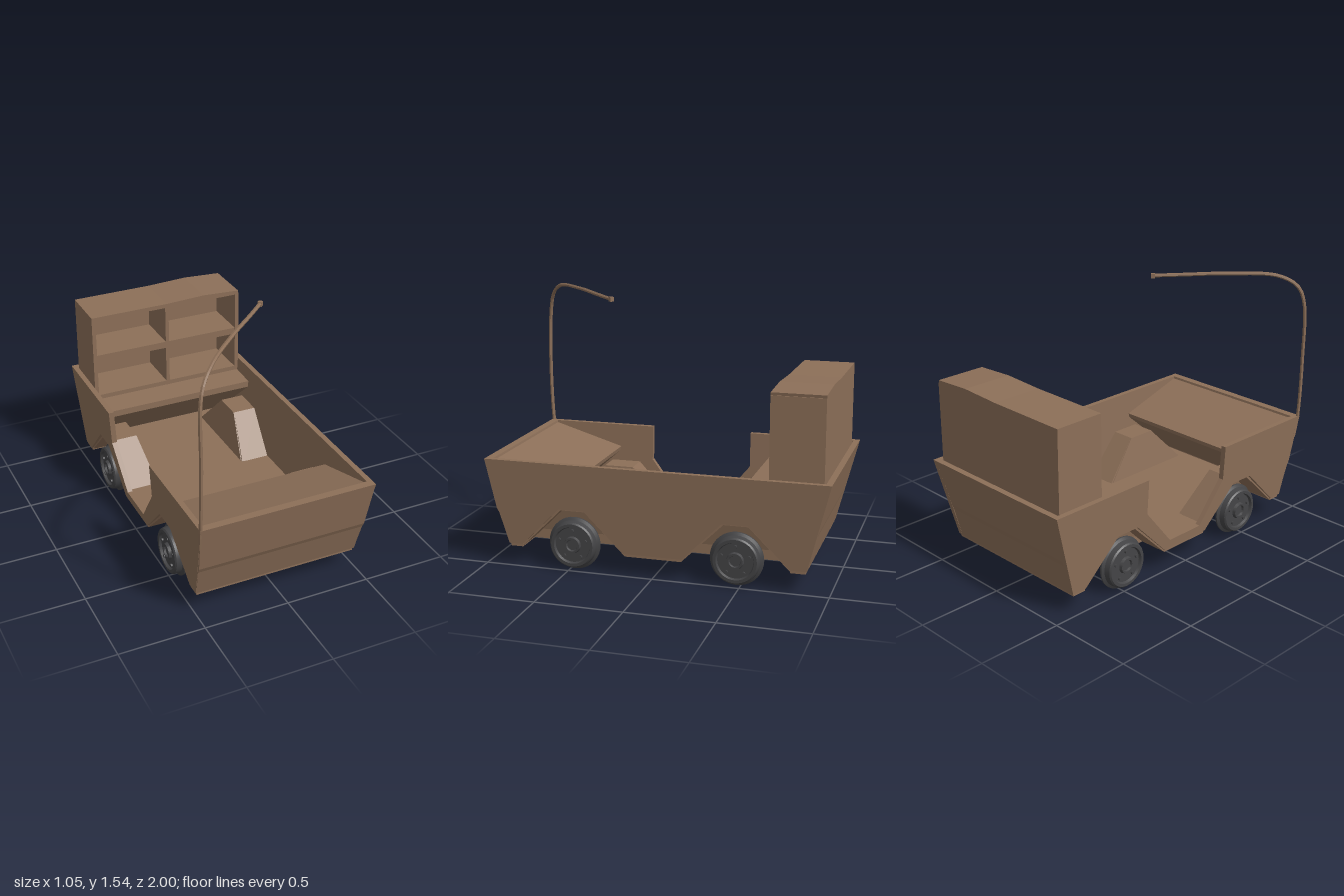
import * as THREE from 'three';
import { toCreasedNormals } from 'three/addons/utils/BufferGeometryUtils.js';

const wood = new THREE.MeshStandardMaterial({ color: 0x8c6f58, flatShading: true });
const iron = new THREE.MeshStandardMaterial({ color: 0x444446 });
const WHEEL_Z = [0.475, -0.475];
const SIDES = [1, -1];

function add(parent, name, geometry, material = wood) {
  const mesh = new THREE.Mesh(geometry, material);
  mesh.name = name;
  parent.add(mesh);
  return mesh;
}

// Prism with a [z, y] outline spanning xa..xb; the body flares outward with height
function prism(parent, name, outline, xa, xb, warp = (x, y) => x * (1 + (y - 0.12) * 0.12)) {
  const shape = new THREE.Shape(outline.map(([z, y]) => new THREE.Vector2(z, y)));
  const geo = new THREE.ExtrudeGeometry(shape, { depth: Math.abs(xb - xa), bevelEnabled: false });
  geo.rotateY(-Math.PI / 2).translate(Math.max(xa, xb), 0, 0);
  const p = geo.attributes.position;
  for (let i = 0; i < p.count; i++) p.setX(i, warp(p.getX(i), p.getY(i)));
  geo.computeVertexNormals();
  return add(parent, name, geo);
}

function box(parent, name, x0, x1, y0, y1, z0, z1) {
  const geo = new THREE.BoxGeometry(x1 - x0, y1 - y0, z1 - z0);
  geo.translate((x0 + x1) / 2, (y0 + y1) / 2, (z0 + z1) / 2);
  return add(parent, name, geo);
}

// Angular wheel arch, from the front end to the rear end
const arch = (cz, half, topHalf, base, top) =>
  [[cz + half, base], [cz + topHalf, top], [cz - topHalf, top], [cz - half, base]];

function buildBody() {
  const body = new THREE.Group();
  body.name = 'body';

  // Side walls, the right one with a doorway
  const lower = [
    [0.862, 0.13], ...arch(WHEEL_Z[0], 0.305, 0.075, 0.13, 0.362),
    ...arch(WHEEL_Z[1], 0.305, 0.075, 0.13, 0.362), [-0.872, 0.13], [-1, 0.63],
  ];
  const doorway = [[-0.33, 0.63], [-0.33, 0.42], [-0.13, 0.18], [0.12, 0.18], [0.3, 0.42], [0.3, 0.63]];
  prism(body, 'leftWall', [...lower, [0.99, 0.63]], 0.462, 0.492);
  prism(body, 'rightWall', [...lower, ...doorway, [0.99, 0.63]], -0.492, -0.462);

  // Slanted end walls, slightly dented
  prism(body, 'frontWall', [[0.99, 0.63], [0.945, 0.63], [0.83, 0.13], [0.862, 0.13], [0.915, 0.31], [0.93, 0.34]], -0.49, 0.49);
  prism(body, 'rearWall', [[-1, 0.63], [-0.925, 0.34], [-0.915, 0.31], [-0.872, 0.13], [-0.84, 0.13], [-0.965, 0.63]], -0.49, 0.49);

  // Floor: centre plank and the pieces between the arches
  box(body, 'floor', -0.31, 0.31, 0.113, 0.17, -0.865, 0.855);
  for (const s of SIDES) {
    for (const [a, b] of [[0.78, 0.855], [-0.165, 0.165], [-0.865, -0.78]]) {
      box(body, 'floorEdge', Math.min(s * 0.31, s * 0.485), Math.max(s * 0.31, s * 0.485), 0.113, 0.17, a, b);
    }
    // Wheel wells: hollow arches with a leaning inner cheek
    for (const cz of WHEEL_Z) {
      const outer = arch(cz, 0.345, 0.09, 0.13, 0.4);
      const inner = arch(cz, 0.31, 0.07, 0.113, 0.35);
      const lean = (x, y) => (Math.abs(x) < 0.4 ? x + s * (y - 0.17) * 0.2 : x);
      prism(body, 'wheelWell', [...outer, ...inner.reverse()], s * 0.29, s * 0.482, lean);
      prism(body, 'wheelWellCheek', arch(cz, 0.345, 0.09, 0.115, 0.4), s * 0.285, s * 0.31, lean);
    }
  }

  // Sloping front deck and rear bench, each with a panel running back to the floor
  prism(body, 'frontDeck', [[0.97, 0.625], [0.51, 0.49], [0.515, 0.465], [0.85, 0.165]], -0.465, 0.465);
  prism(body, 'rearBench', [[-0.97, 0.56], [-0.86, 0.165], [-0.49, 0.5], [-0.49, 0.54]], -0.465, 0.465);
  return body;
}

function buildCabinet() {
  const cabinet = new THREE.Group();
  cabinet.name = 'cabinet';
  const front = -0.655, back = -0.955;
  box(cabinet, 'cabinetBack', -0.485, 0.485, 0.54, 1.09, back, back + 0.025);
  for (const s of SIDES) box(cabinet, 'cabinetSide', s * 0.478 - 0.012, s * 0.478 + 0.012, 0.54, 1.09, back, front);
  box(cabinet, 'cabinetDivider', -0.011, 0.011, 0.54, 1.09, back + 0.02, front - 0.001);
  box(cabinet, 'cabinetShelf', -0.47, 0.47, 0.808, 0.85, back + 0.02, front - 0.002);
  box(cabinet, 'cabinetBase', -0.47, 0.47, 0.54, 0.575, back + 0.02, front - 0.002);
  // Slightly crooked top board
  const top = new THREE.Shape([[-0.49, 1.082], [0.482, 1.082], [0.486, 1.106], [0.25, 1.118], [0, 1.108], [-0.49, 1.106]]
    .map(([x, y]) => new THREE.Vector2(x, y)));
  const geo = new THREE.ExtrudeGeometry(top, { depth: front - back, bevelEnabled: false });
  add(cabinet, 'cabinetTop', geo.translate(0, 0, back));
  return cabinet;
}

function buildWheel() {
  const wheel = new THREE.Group();
  wheel.name = 'wheel';
  // Flanged rim, dished face and hub
  const profile = [[0, 0], [0.153, 0], [0.153, 0.01], [0.138, 0.02], [0.133, 0.052], [0.125, 0.06], [0.108, 0.06],
    [0.102, 0.045], [0.05, 0.045], [0.045, 0.062], [0.034, 0.062], [0.03, 0.05], [0, 0.05]];
  const rim = new THREE.LatheGeometry(profile.map(([r, h]) => new THREE.Vector2(r, h)), 36);
  add(wheel, 'wheelRim', toCreasedNormals(rim.rotateZ(-Math.PI / 2), 0.5), iron);
  for (let i = 0; i < 5; i++) {
    const a = (i / 5) * Math.PI * 2;
    const bolt = new THREE.CylinderGeometry(0.01, 0.01, 0.016, 8).rotateZ(-Math.PI / 2);
    add(wheel, 'wheelBolt', bolt.translate(0.048, 0.083 * Math.cos(a), 0.083 * Math.sin(a)), iron);
  }
  const axle = new THREE.CylinderGeometry(0.028, 0.028, 0.14, 16).rotateZ(-Math.PI / 2);
  add(wheel, 'axleStub', axle.translate(-0.07, 0, 0), iron);
  return wheel;
}

export function createModel() {
  const model = new THREE.Group();
  model.name = 'woodenCart';
  model.add(buildBody(), buildCabinet());

  for (const s of SIDES) {
    for (const z of WHEEL_Z) {
      const wheel = buildWheel();
      wheel.position.set(s * 0.442, 0.153, z);
      if (s < 0) wheel.rotation.y = Math.PI;
      model.add(wheel);
    }
  }

  // Bent pole rising from the front right corner and reaching over the cart
  const path = new THREE.CatmullRomCurve3([
    [-0.51, 0.5, 0.955], [-0.515, 0.63, 0.978], [-0.516, 1, 0.992], [-0.514, 1.35, 0.98], [-0.485, 1.45, 0.95],
    [-0.4, 1.513, 0.87], [-0.2, 1.527, 0.67], [0, 1.518, 0.475], [0.125, 1.512, 0.35],
  ].map((p) => new THREE.Vector3(...p)));
  add(model, 'pole', new THREE.TubeGeometry(path, 48, 0.011, 6));
  const tip = add(model, 'poleTip', new THREE.BoxGeometry(0.024, 0.026, 0.024));
  tip.position.set(0.122, 1.512, 0.352);
  tip.rotation.y = Math.PI / 4;
  return model;
}
